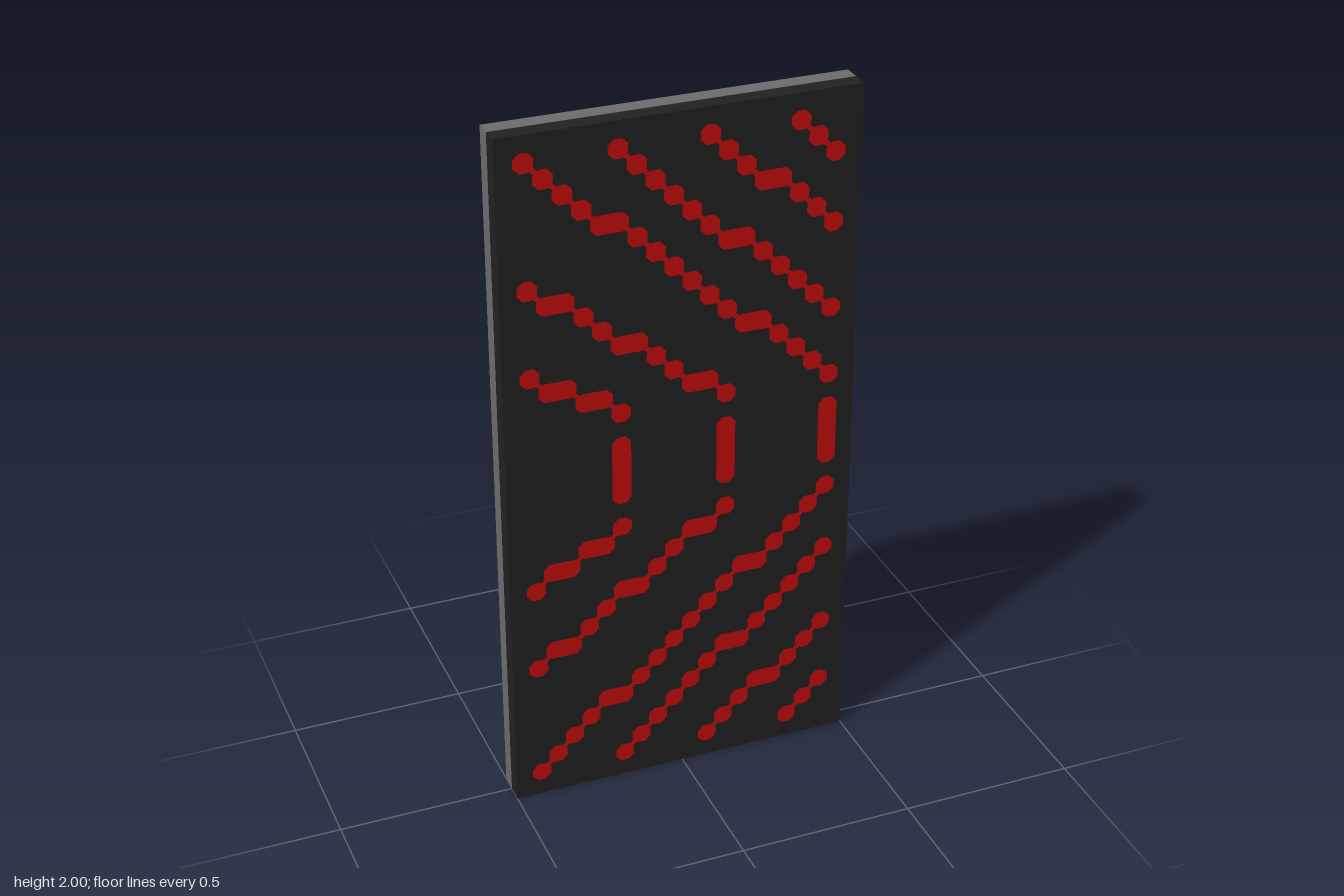
import * as THREE from 'three';
import { mergeGeometries } from 'three/addons/utils/BufferGeometryUtils.js';

const STEP = 0.05;   // dot pitch
const R = 0.0272;    // half width of a dot

export function createModel() {
  const group = new THREE.Group();
  const black = new THREE.MeshStandardMaterial({ name: 'black', color: 0x222222 });
  const grey = new THREE.MeshStandardMaterial({ name: 'grey', color: 0x6e6e6e });
  const red = new THREE.MeshStandardMaterial({ name: 'red', color: 0xcc0c0c });

  const add = (name, geometry, material, y, z) => {
    const mesh = new THREE.Mesh(geometry, material);
    mesh.name = name;
    mesh.position.set(0, y, z);
    group.add(mesh);
  };

  // Two slabs, front and back
  add('frontPanel', new THREE.BoxGeometry(1, 2, 0.05), black, 1, 0.025);
  add('backPanel', new THREE.BoxGeometry(1, 2, 0.05), grey, 1, -0.025);

  // Octagonal dots joined by bars along rows and thin links on diagonals
  const pieces = [];
  const dotLine = (points) => {
    points.forEach(([x, y], k) => {
      const dot = new THREE.CircleGeometry(R / Math.cos(Math.PI / 8), 8, Math.PI / 8);
      pieces.push(dot.translate(x, y, 0));
      if (k === 0) return;
      const [px, py] = points[k - 1];
      const dx = x - px, dy = y - py;
      const diagonal = Math.abs(dx) > 0.01 && Math.abs(dy) > 0.01;
      const link = new THREE.PlaneGeometry(Math.hypot(dx, dy), diagonal ? 0.014 : 2 * R);
      link.rotateZ(Math.atan2(dy, dx));
      pieces.push(link.translate((x + px) / 2, (y + py) / 2, 0));
    });
  };

  // Slanted lines: start column, start row, and columns that do not rise
  const slants = [
    [0, 0, 17, [5, 13]],
    [5, 0, 17, [12]],
    [10, 0, 17, [14]],
    [15, 0, 17, []],
    [0, 7, 11, [2, 6, 10]],
    [0, 12, 5, [2, 4]],
  ];
  for (const [start, startRow, end, flat] of slants) {
    const points = [];
    for (let col = start, row = startRow; col <= end; col++) {
      if (col > start && !flat.includes(col)) row++;
      points.push([-0.425 + col * STEP, 0.075 + row * STEP]);
    }
    dotLine(points);
    dotLine(points.map(([x, y]) => [x, 2 - y])); // mirrored upper half
  }

  // Upright bars at mid height
  for (const x of [-0.175, 0.125, 0.425]) {
    dotLine([0.925, 0.975, 1.025, 1.075].map((y) => [x, y]));
  }
  add('chevronDots', mergeGeometries(pieces), red, 0, 0.0515);

  return group;
}
